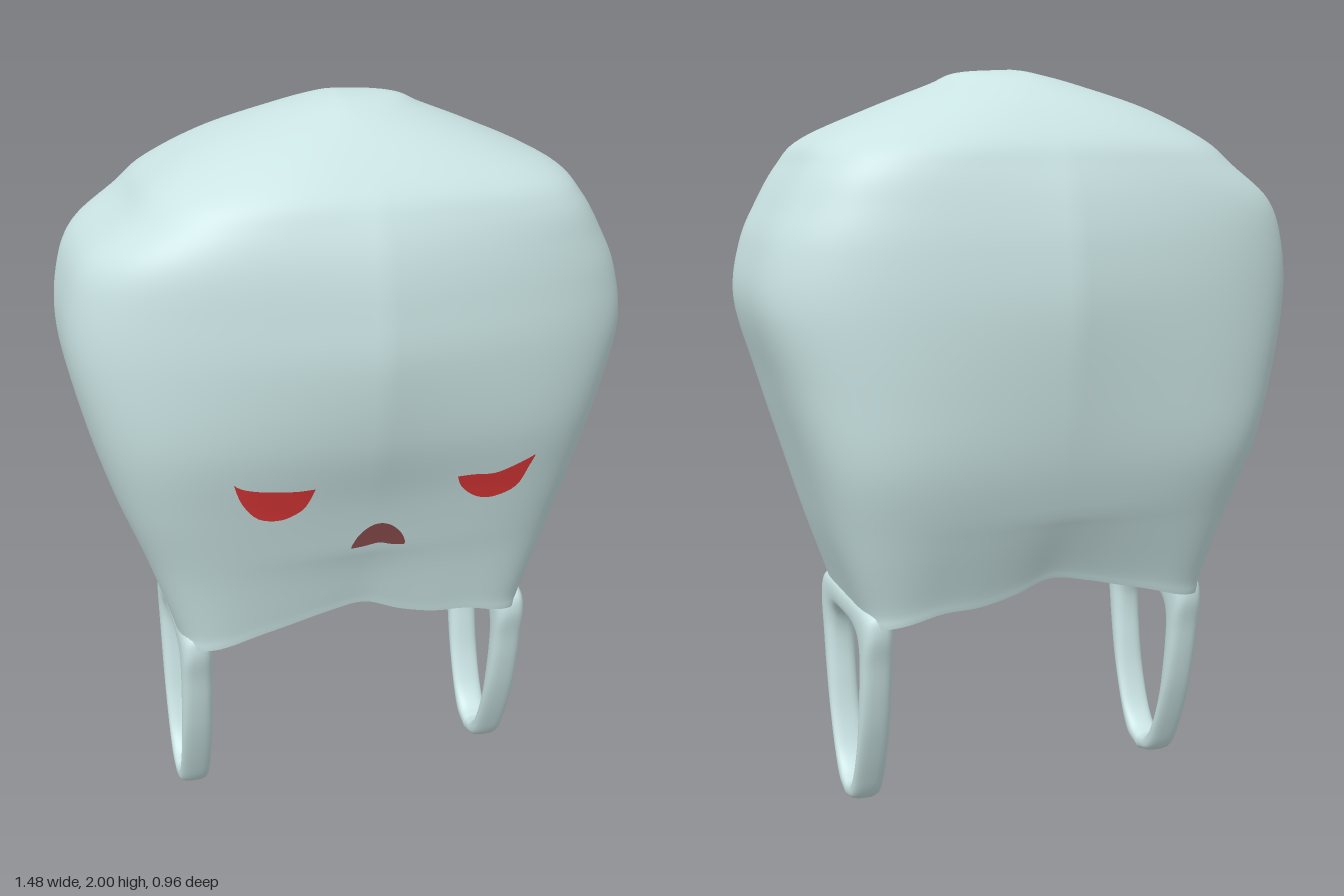
import * as THREE from 'three';

// Body cross-sections: y, half width right, half width left, front depth, back depth, squareness, bow
const SECTIONS = [
  [0.56, 0.49, 0.482, 0.28, 0.29, 7, 0],
  [0.62, 0.505, 0.497, 0.29, 0.305, 6, 0],
  [0.80, 0.565, 0.56, 0.325, 0.36, 5, 0],
  [1.00, 0.64, 0.62, 0.38, 0.42, 4.6, 0.02],
  [1.20, 0.70, 0.68, 0.45, 0.455, 4.2, 0.09],
  [1.40, 0.74, 0.735, 0.483, 0.475, 4, 0.16],
  [1.55, 0.73, 0.715, 0.475, 0.465, 4, 0.16],
  [1.66, 0.685, 0.665, 0.455, 0.44, 4, 0.13],
  [1.75, 0.572, 0.61, 0.42, 0.405, 4, 0.08],
  [1.82, 0.50, 0.55, 0.375, 0.365, 3.2, 0.03],
  [1.90, 0.355, 0.375, 0.285, 0.28, 2.5, 0],
  [1.96, 0.175, 0.225, 0.18, 0.18, 2, 0],
  [1.99, 0.05, 0.15, 0.09, 0.09, 2, 0],
  [2.00, 0.001, 0.001, 0.001, 0.001, 2, 0],
];
// Height of the wavy opening above its lowest edge, for x = -0.5 to 0.5
const RIM = [0, 0.015, 0.045, 0.07, 0.095, 0.11, 0.075, 0.052, 0.046, 0.02, 0];

// Half of a handle, from its top to its foot: outer z, outer y, inner z, inner y
const HANDLE = [
  [0, 0.62, 0, 0.535],
  [0.13, 0.62, 0.08, 0.53],
  [0.225, 0.605, 0.125, 0.505],
  [0.245, 0.55, 0.146, 0.46],
  [0.225, 0.46, 0.15, 0.4],
  [0.205, 0.36, 0.142, 0.32],
  [0.175, 0.25, 0.122, 0.21],
  [0.125, 0.12, 0.085, 0.115],
  [0.075, 0.03, 0.04, 0.064],
  [0, 0, 0, 0.05],
];

// Smooth interpolation through evenly spaced values, t from 0 to 1
function smooth(values, t) {
  const last = values.length - 1;
  const s = THREE.MathUtils.clamp(t, 0, 1) * last;
  const i = Math.min(Math.floor(s), last - 1);
  const f = s - i;
  const a = values[i], b = values[i + 1];
  const m0 = i > 0 ? (b - values[i - 1]) / 2 : b - a;
  const m1 = i + 2 <= last ? (values[i + 2] - a) / 2 : b - a;
  const f2 = f * f, f3 = f2 * f;
  return (2 * f3 - 3 * f2 + 1) * a + (f3 - 2 * f2 + f) * m0 + (3 * f2 - 2 * f3) * b + (f3 - f2) * m1;
}

const toColumns = (table) => table[0].map((_, c) => table.map((row) => row[c]));
const columns = toColumns(SECTIONS);
const sectionAt = (t) => columns.map((column) => smooth(column, t));

// Depth of the front face at a point
function frontDepth(x, y) {
  let lo = 0, hi = 1;
  for (let k = 0; k < 30; k++) {
    const mid = (lo + hi) / 2;
    if (smooth(columns[0], mid) < y) lo = mid; else hi = mid;
  }
  const [, right, left, front, , n, bow] = sectionAt(lo);
  const u = Math.abs(x) / (x < 0 ? right : left);
  return front * Math.pow(1 - Math.pow(u, n), 1 / n) * (1 - bow * u);
}

// Surface from a grid of points
function gridGeometry(rows, cols, closed, point) {
  const positions = [], index = [];
  for (let i = 0; i <= rows; i++) {
    for (let j = 0; j < cols; j++) positions.push(...point(i, j));
  }
  for (let i = 0; i < rows; i++) {
    for (let j = 0; j < (closed ? cols : cols - 1); j++) {
      const a = i * cols + j, b = i * cols + ((j + 1) % cols);
      index.push(a, a + cols, b, b, a + cols, b + cols);
    }
  }
  const geometry = new THREE.BufferGeometry();
  geometry.setAttribute('position', new THREE.Float32BufferAttribute(positions, 3));
  geometry.setIndex(index);
  geometry.computeVertexNormals();
  return geometry;
}

// Hollow shell, open at the bottom
function bodyGeometry() {
  const rows = 91, cols = 160;
  return gridGeometry(rows, cols, true, (i, j) => {
    const [y, right, left, front, back, n, bow] = sectionAt(i / rows);
    const angle = (j / cols) * Math.PI * 2;
    const c = Math.cos(angle), s = Math.sin(angle);
    const r = Math.pow(Math.pow(Math.abs(c), n) + Math.pow(Math.abs(s), n), -1 / n);
    const x = r * c * (c < 0 ? right : left);
    const z = r * s * (s < 0 ? back : front) * (1 - bow * Math.abs(r * c));
    const fade = Math.max(0, 1 - (y - 0.56) / 0.3);
    return [x, y + smooth(RIM, x + 0.5) * fade, z];
  });
}

// Looped strap with a rounded section, widening into a panel at the top
function handleGeometry() {
  const profile = toColumns(HANDLE);
  const rows = 96, cols = 24, halfThickness = 0.043;
  const round = (v) => Math.sign(v) * Math.pow(Math.abs(v), 0.75);
  return gridGeometry(rows, cols, true, (i, j) => {
    const t = (i / rows) * 2;
    const side = t > 1 ? -1 : 1;
    const [oz, oy, iz, iy] = profile.map((p) => smooth(p, t > 1 ? 2 - t : t));
    const angle = (j / cols) * Math.PI * 2;
    const k = (1 + round(Math.sin(angle))) / 2;
    return [
      -halfThickness * round(Math.cos(angle)),
      THREE.MathUtils.lerp(iy, oy, k),
      side * THREE.MathUtils.lerp(iz, oz, k),
    ];
  });
}

// Thin patch following the front face between an upper and a lower edge
function patchGeometry(upper, lower, offset) {
  const curve = (pts) => new THREE.SplineCurve(pts.map(([x, y]) => new THREE.Vector2(x, y)));
  const top = curve(upper), bottom = curve(lower);
  return gridGeometry(6, 25, false, (i, j) => {
    const p = top.getPoint(j / 24).lerp(bottom.getPoint(j / 24), 1 - i / 6);
    return [p.x, p.y, frontDepth(p.x, p.y) + offset];
  });
}

export function createModel() {
  const material = (name, color) => {
    const m = new THREE.MeshStandardMaterial({ color, side: THREE.DoubleSide });
    m.name = name;
    return m;
  };
  const skin = material('pale grey green', 0xcae3e3);
  const red = material('red', 0xdc3737);
  const maroon = material('dull maroon', 0x8b4d4d);

  const model = new THREE.Group();
  model.name = 'bagCreature';
  const add = (name, geometry, mat) => {
    const mesh = new THREE.Mesh(geometry, mat);
    mesh.name = name;
    model.add(mesh);
    return mesh;
  };

  add('body', bodyGeometry(), skin);

  const handle = handleGeometry();
  add('rightHandle', handle, skin).position.x = -0.453;
  add('leftHandle', handle, skin).position.x = 0.457;

  // Face details show on both sides of the thin shell
  const face = [
    ['rightEye', red,
      [[-0.375, 1.115], [-0.35, 1.1], [-0.3, 1.088], [-0.22, 1.08], [-0.168, 1.082]],
      [[-0.375, 1.115], [-0.353, 1.055], [-0.31, 1.003], [-0.25, 0.992], [-0.2, 1.015], [-0.18, 1.045], [-0.168, 1.08]]],
    ['leftEye', red,
      [[0.215, 1.07], [0.26, 1.07], [0.32, 1.065], [0.38, 1.082], [0.433, 1.103]],
      [[0.215, 1.068], [0.232, 1.032], [0.275, 0.997], [0.325, 0.987], [0.39, 1.01], [0.42, 1.07], [0.433, 1.1]]],
    ['mouth', maroon,
      [[-0.055, 0.878], [-0.038, 0.912], [-0.01, 0.938], [0.02, 0.945], [0.052, 0.932], [0.08, 0.902], [0.093, 0.872]],
      [[-0.055, 0.87], [-0.02, 0.874], [0.02, 0.88], [0.055, 0.87], [0.09, 0.864]]],
  ];
  for (const [name, mat, upper, lower] of face) {
    add(name, patchGeometry(upper, lower, 0.004), mat);
    add(name + 'Inside', patchGeometry(upper, lower, -0.004), mat);
  }
  return model;
}
